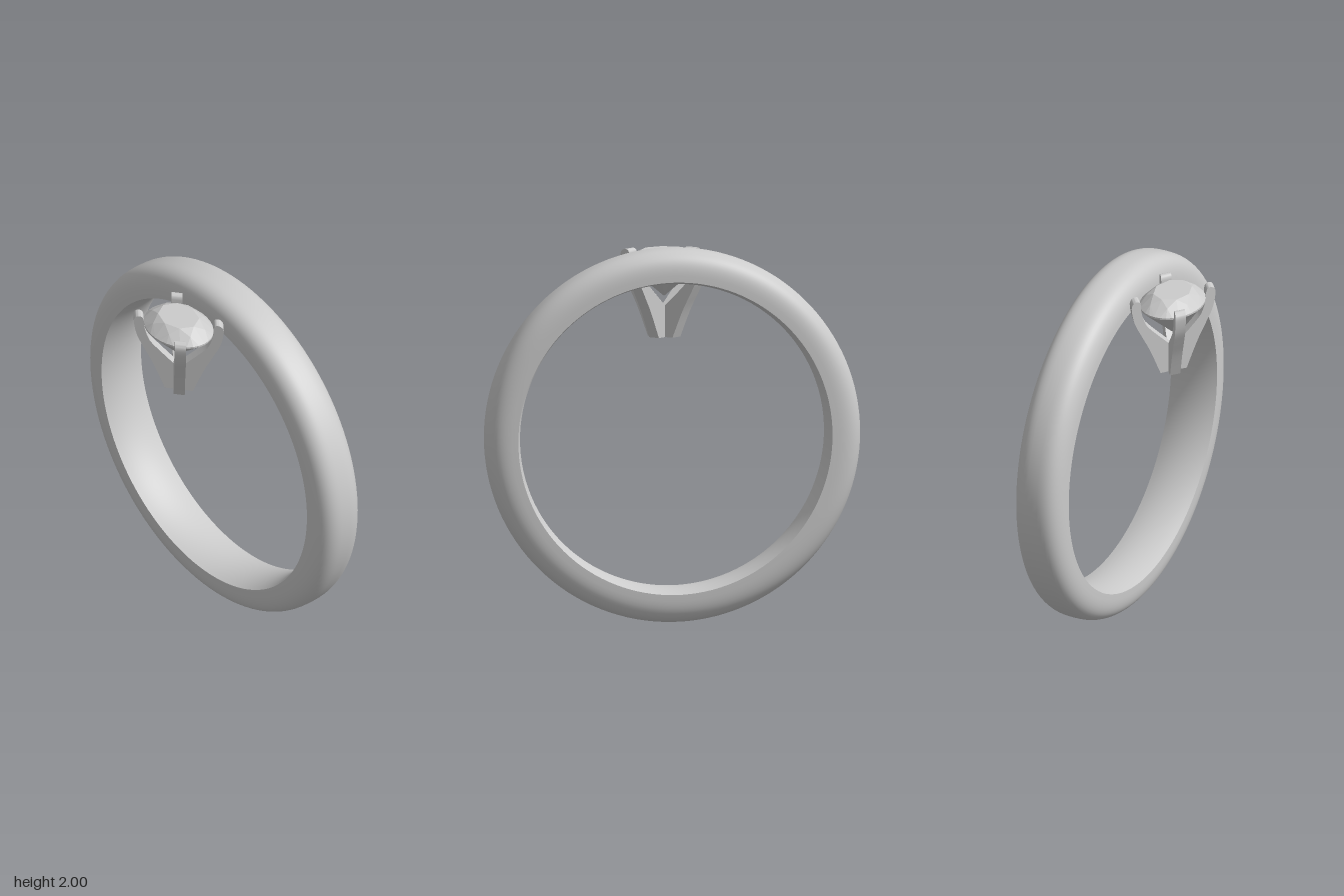
import * as THREE from 'three';
import { toCreasedNormals } from 'three/addons/utils/BufferGeometryUtils.js';
import { ConvexGeometry } from 'three/addons/geometries/ConvexGeometry.js';

const grey = () => new THREE.MeshStandardMaterial({ color: 0xcccccc });

function part(name, geometry, parent) {
  const mesh = new THREE.Mesh(geometry, grey());
  mesh.name = name;
  parent.add(mesh);
  return mesh;
}

// Domed band with a slightly convex inner surface
function bandGeometry() {
  const edge = 0.838, half = 0.137, power = 0.7, profile = [];
  for (let i = 0; i <= 28; i++) {
    const a = -Math.PI / 2 + (i / 28) * Math.PI;
    const c = Math.max(0, Math.cos(a)), s = Math.sin(a);
    profile.push(new THREE.Vector2(
      edge + (1 - edge) * c ** power,
      half * Math.sign(s) * Math.abs(s) ** power));
  }
  for (let i = 1; i <= 12; i++) {
    const t = 1 - (i / 12) * 2;
    profile.push(new THREE.Vector2(edge - 0.024 * (1 - t * t), half * t));
  }
  const g = new THREE.LatheGeometry(profile, 128);
  g.rotateX(Math.PI / 2);
  return toCreasedNormals(g, 0.7);
}

// Faceted brilliant: table, crown ring, thin girdle and pointed pavilion
function gemGeometry() {
  const points = [new THREE.Vector3(0, 1.69, 0)];
  const ring = (count, r, y, turn = 0) => {
    for (let i = 0; i < count; i++) {
      const a = ((i + turn) / count) * Math.PI * 2;
      points.push(new THREE.Vector3(r * Math.cos(a), y, r * Math.sin(a)));
    }
  };
  ring(8, 0.097, 1.94);
  ring(8, 0.132, 1.913, 0.5);
  ring(32, 0.164, 1.876);
  ring(32, 0.164, 1.866);
  return new ConvexGeometry(points);
}

// Curved claw, drawn as radius against height and given a thickness
function prongGeometry() {
  const width = 0.052;
  const v = (list) => list.map(([r, y]) => new THREE.Vector2(r, y));
  const shape = new THREE.Shape();
  shape.moveTo(0, 1.475);
  shape.lineTo(0.066, 1.475);
  shape.splineThru(v([[0.118, 1.62], [0.16, 1.715], [0.196, 1.8], [0.211, 1.88], [0.207, 1.912],
    [0.19, 1.926], [0.172, 1.922], [0.164, 1.9], [0.162, 1.86], [0.143, 1.79], [0.114, 1.745], [0.026, 1.645]]));
  shape.lineTo(0, 1.62);
  const g = new THREE.ExtrudeGeometry(shape, { depth: width, bevelEnabled: false, curveSegments: 3 });
  g.translate(0, 0, -width / 2);
  return toCreasedNormals(g, 0.6);
}

export function createModel() {
  const model = new THREE.Group();
  model.name = 'ring';

  const band = part('band', bandGeometry(), model);
  band.position.set(0, 1, -0.173);

  // Round setting stretched sideways into an oval
  const setting = new THREE.Group();
  setting.name = 'setting';
  setting.position.z = 0.142;
  setting.scale.x = 1.28;
  model.add(setting);

  part('gem', gemGeometry(), setting);
  const prong = prongGeometry();
  for (let i = 0; i < 4; i++) {
    part('prong', prong, setting).rotation.y = Math.PI / 4 + (i * Math.PI) / 2;
  }
  return model;
}
